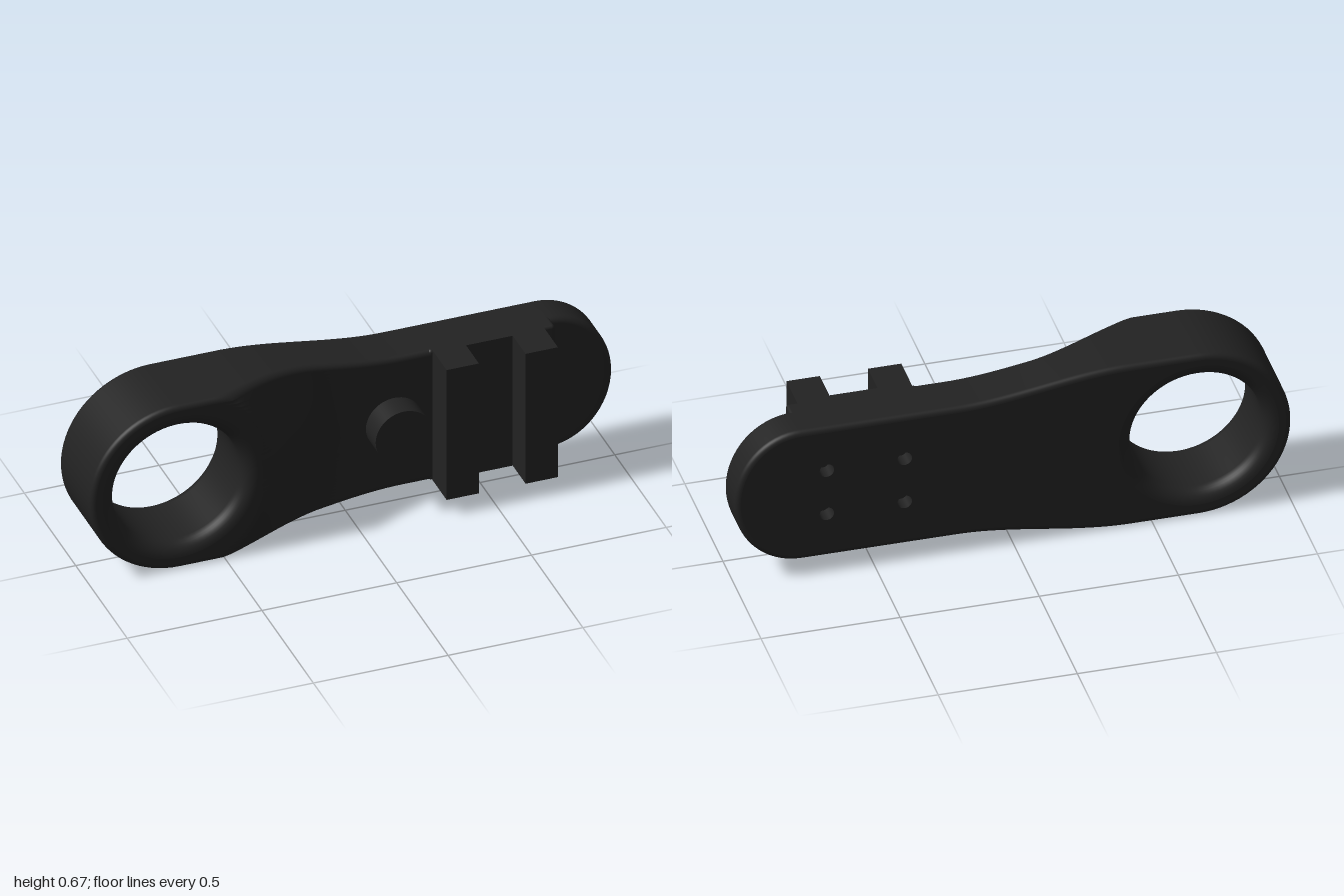
import * as THREE from 'three';
import { RoundedBoxGeometry } from 'three/addons/geometries/RoundedBoxGeometry.js';

const CX = -0.667, CY = 0.334, HOLE = 0.238, BIG = 0.333, SMALL = 0.267;
const BACK = -0.16, RIM = 0.05, EDGE = 0.02;
const SCREWS = [[0.39, -0.09], [0.39, 0.09], [0.67, -0.09], [0.67, 0.09]];
const smooth = THREE.MathUtils.smoothstep, lerp = THREE.MathUtils.lerp;

// half height of the arm along x
const halfHeight = (x) => lerp(BIG, SMALL, smooth(x, -0.42, 0.2));

// front surface: thick round eye, concave slope, flat arm, thinner tip
function frontZ(x, y) {
  const d = Math.hypot(Math.max(0, x - CX), (y - CY) * 0.86);
  const t = THREE.MathUtils.clamp((0.62 - d) / 0.29, 0, 1);
  const z = 0.025 + 0.12 * Math.pow(t, 1.8);
  return z - 0.045 * smooth(x, 0.38, 0.55);
}

// counter-clockwise outline with outward normals
function makeOutline() {
  const pts = [], n = 44, tipX = 0.76;
  for (let i = 0; i < n; i++) {
    const x = lerp(CX, tipX, i / n);
    pts.push([x, CY - halfHeight(x)]);
  }
  for (let i = 0; i < 32; i++) {
    const a = -Math.PI / 2 + Math.PI * i / 32;
    pts.push([tipX + (1 - tipX) * Math.cos(a), CY + SMALL * Math.sin(a)]);
  }
  for (let i = 0; i < n; i++) {
    const x = lerp(tipX, CX, i / n);
    pts.push([x, CY + halfHeight(x)]);
  }
  for (let i = 0; i < 40; i++) {
    const a = Math.PI / 2 + Math.PI * i / 40;
    pts.push([CX + BIG * Math.cos(a), CY + BIG * Math.sin(a)]);
  }
  return pts.map(([x, y], i) => {
    const p = pts[(i + pts.length - 1) % pts.length], q = pts[(i + 1) % pts.length];
    const dx = q[0] - p[0], dy = q[1] - p[1], l = Math.hypot(dx, dy);
    return { x, y, nx: dy / l, ny: -dx / l, a: Math.atan2(y - CY, x - CX) };
  });
}

const holePoint = (o, off) => [CX + (HOLE + off) * Math.cos(o.a), CY + (HOLE + off) * Math.sin(o.a)];
const edgePoint = (o, off) => [o.x - o.nx * off, o.y - o.ny * off];

// skin running from the back rim of the eye, over the front, to the back edge
function armGeometry(outline) {
  const rings = [], steps = 8, mids = 60;
  const arc = (k) => {
    const a = (k / steps) * Math.PI / 2;
    return [1 - Math.cos(a), 1 - Math.sin(a)];
  };
  for (let k = steps; k >= 0; k--) {
    const [off, drop] = arc(k);
    rings.push((o) => [...holePoint(o, off * RIM), BACK + drop * RIM]);
  }
  for (let k = 0; k <= steps; k++) {
    const [off, drop] = arc(k);
    rings.push((o) => {
      const [x, y] = holePoint(o, off * RIM);
      return [x, y, frontZ(x, y) - drop * RIM];
    });
  }
  for (let k = 1; k < mids; k++) {
    rings.push((o) => {
      const a = holePoint(o, RIM), b = edgePoint(o, EDGE);
      const x = lerp(a[0], b[0], k / mids), y = lerp(a[1], b[1], k / mids);
      return [x, y, frontZ(x, y)];
    });
  }
  for (let k = steps; k >= 0; k--) {
    const [off, drop] = arc(k);
    rings.push((o) => {
      const [x, y] = edgePoint(o, off * EDGE);
      return [x, y, frontZ(x, y) - drop * EDGE];
    });
  }
  for (let k = 0; k <= steps; k++) {
    const [off, drop] = arc(k);
    rings.push((o) => [...edgePoint(o, off * EDGE), BACK + drop * EDGE]);
  }
  const pos = [], idx = [], n = outline.length;
  rings.forEach((ring, r) => outline.forEach((o, j) => {
    pos.push(...ring(o));
    if (r === rings.length - 1) return;
    const a = r * n + j, b = r * n + (j + 1) % n;
    idx.push(a, a + n, b + n, a, b + n, b);
  }));
  const g = new THREE.BufferGeometry();
  g.setAttribute('position', new THREE.Float32BufferAttribute(pos, 3));
  g.setIndex(idx);
  g.computeVertexNormals();
  return g;
}

export function createModel() {
  const group = new THREE.Group();
  const dark = new THREE.MeshStandardMaterial({ color: 0x222222 });
  const both = new THREE.MeshStandardMaterial({ color: 0x222222, side: THREE.DoubleSide });
  const add = (name, geo, x = 0, y = 0, z = 0, mat = dark) => {
    const m = new THREE.Mesh(geo, mat);
    m.name = name;
    m.position.set(x, y, z);
    group.add(m);
    return m;
  };
  const outline = makeOutline();
  add('arm', armGeometry(outline));

  // flat back with the eye and the screw holes cut out
  const shape = new THREE.Shape(outline.map((o) => new THREE.Vector2(...edgePoint(o, EDGE))));
  shape.holes.push(new THREE.Path(outline.map((o) => new THREE.Vector2(...holePoint(o, RIM)))));
  const r = 0.026;
  for (const [x, dy] of SCREWS) shape.holes.push(new THREE.Path().absarc(x, CY + dy, r, 0, Math.PI * 2, true));
  add('backFace', new THREE.ShapeGeometry(shape, 16), 0, 0, BACK, both);

  // blind screw holes
  for (const [x, dy] of SCREWS) {
    const bore = new THREE.CylinderGeometry(r, r, 0.08, 32, 1, true).rotateX(Math.PI / 2);
    add('screwHole', bore, x, CY + dy, BACK + 0.04, both);
    add('screwHoleBottom', new THREE.CircleGeometry(r, 32), x, CY + dy, BACK + 0.08, both);
  }

  // round peg
  add('peg', new THREE.CylinderGeometry(0.105, 0.105, 0.12, 48).rotateX(Math.PI / 2), 0.172, CY, 0.06);

  // raised pad under the clamp rails
  add('railPad', new RoundedBoxGeometry(0.47, 2 * SMALL, 0.125, 4, 0.012), 0.535, CY, -0.0375);

  // clamp base and its two rails
  add('railBase', new THREE.BoxGeometry(0.41, 2 * SMALL, 0.055), 0.52, CY, 0.0075);
  for (const x of [0.375, 0.668]) add('rail', new THREE.BoxGeometry(0.12, 2 * SMALL, 0.16), x, CY, 0.08);

  return group;
}
